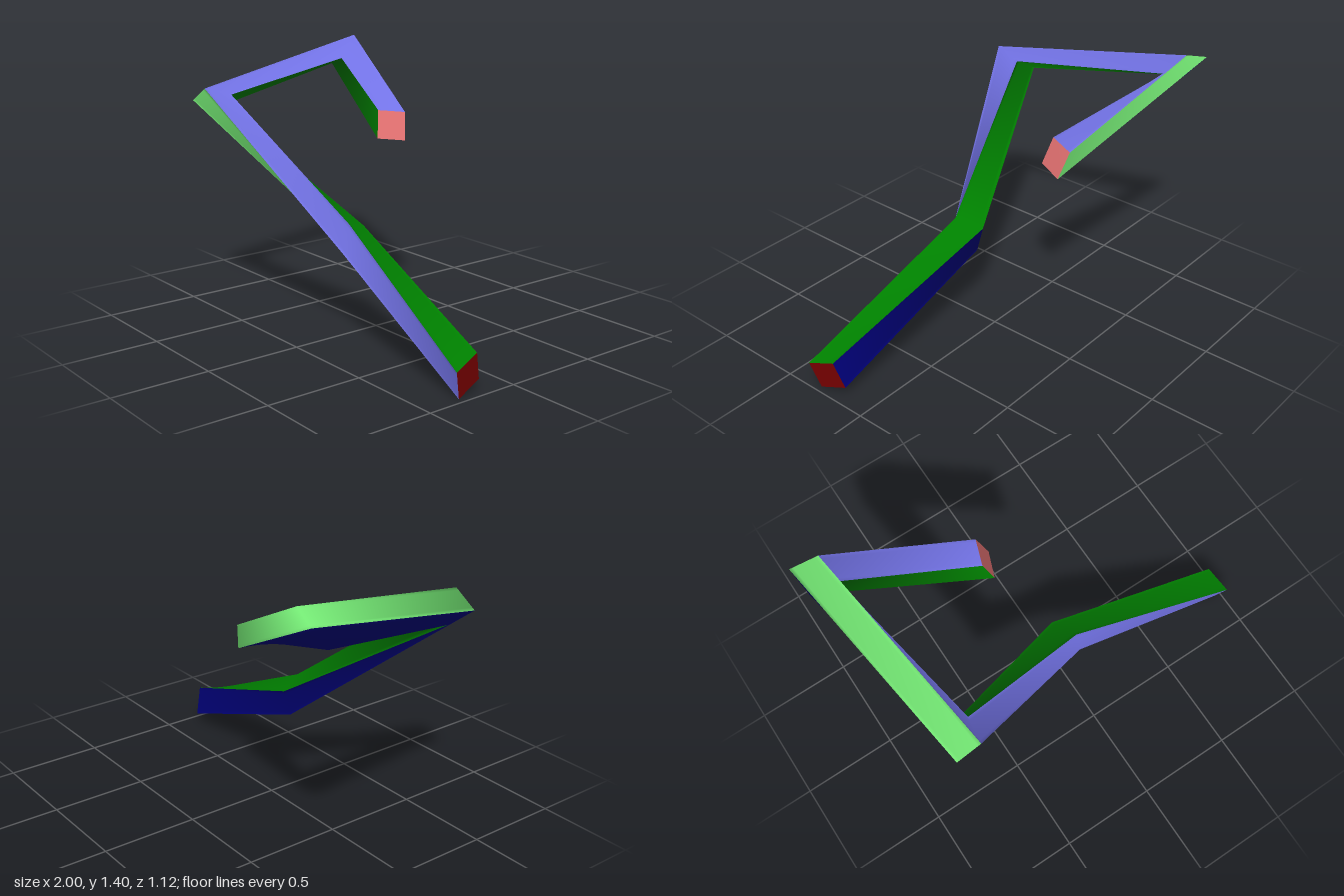
import * as THREE from 'three';

// Square cross-sections along the bent bar, from its low end to its high end.
// Corners always run in the same order: front, top, back, bottom edge at the low end.
const SECTIONS = [
  [[0.997, 0.148, 0.347], [0.97, 0.198, 0.203], [0.94, 0.054, 0.16], [0.967, 0.004, 0.305]],
  [[0.06, 0.594, 0.215], [0, 0.554, 0.08], [0, 0.41, 0.12], [0.06, 0.45, 0.255]],
  [[-0.68, 1.167, 0.415], [-0.81, 1.09, 0.4], [-0.83, 1.133, 0.555], [-0.7, 1.21, 0.56]],
  [[-0.84, 1.276, -0.42], [-0.98, 1.231, -0.455], [-1, 1.355, -0.56], [-0.86, 1.4, -0.525]],
  [[-0.22, 1.083, -0.19], [-0.18, 0.943, -0.154], [-0.126, 0.924, -0.294], [-0.17, 1.065, -0.33]],
].map((ring) => ring.map((c) => new THREE.Vector3(...c)));

const ACROSS = 8; // subdivisions across each side, so that twisted sides stay even

function makeGeometry(points, index) {
  const geometry = new THREE.BufferGeometry().setFromPoints(points);
  geometry.setIndex(index);
  geometry.computeVertexNormals();
  return geometry;
}

// One long side of the bar, running between two neighbouring corner edges
function sideStrip(corner) {
  const points = [];
  const index = [];
  const row = ACROSS + 1;
  SECTIONS.forEach((ring, i) => {
    for (let j = 0; j <= ACROSS; j++) {
      points.push(ring[corner].clone().lerp(ring[(corner + 1) % 4], j / ACROSS));
      if (i > 0 && j > 0) {
        const d = i * row + j - 1;
        const a = d - row;
        index.push(a, a + 1, d + 1, a, d + 1, d);
      }
    }
  });
  return makeGeometry(points, index);
}

export function createModel() {
  const group = new THREE.Group();
  group.name = 'bentBar';

  const add = (partName, geometry, colorName, color) => {
    const material = new THREE.MeshStandardMaterial({ color });
    material.name = colorName;
    const mesh = new THREE.Mesh(geometry, material);
    mesh.name = partName;
    group.add(mesh);
  };

  // Four long sides
  [
    ['upperSide', 'dark green', 0x008000],
    ['backSide', 'dark blue', 0x000080],
    ['lowerSide', 'light green', 0x80ff80],
    ['frontSide', 'light blue', 0x8080ff],
  ].forEach(([part, name, color], i) => add(part, sideStrip(i), name, color));

  // End caps
  add('lowEndCap', makeGeometry(SECTIONS[0], [0, 3, 2, 0, 2, 1]), 'dark red', 0x800000);
  add('highEndCap', makeGeometry(SECTIONS[4], [0, 1, 2, 0, 2, 3]), 'light red', 0xff8080);

  return group;
}
